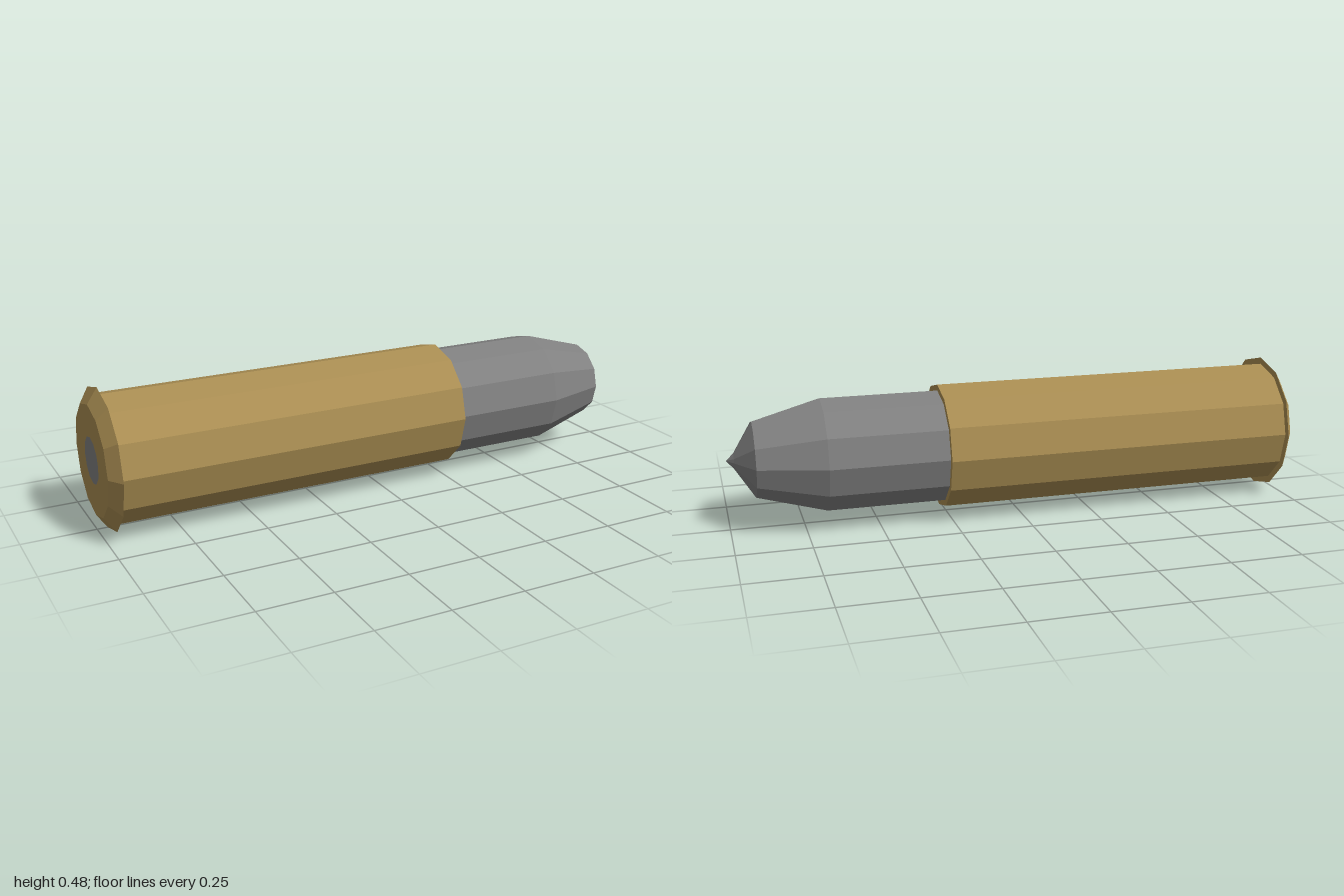
import * as THREE from 'three';

const SIDES = 12;
const AXIS_Y = 0.242;

const brass = new THREE.MeshStandardMaterial({ color: 0xa98d52, flatShading: true });
const lead = new THREE.MeshStandardMaterial({ color: 0x808080, flatShading: true });

// Turned part along x; profile is a list of [x, radius] from base to tip
function turned(name, profile, material) {
  const points = profile.map(([x, r]) => new THREE.Vector2(r, x));
  const geometry = new THREE.LatheGeometry(points, SIDES);
  geometry.rotateZ(-Math.PI / 2);
  const mesh = new THREE.Mesh(geometry, material);
  mesh.name = name;
  mesh.position.y = AXIS_Y;
  return mesh;
}

export function createModel() {
  const group = new THREE.Group();
  group.name = 'cartridge';

  // Base rim, flaring from the flat back to a sharp lip
  group.add(turned('rim', [[-1, 0.08], [-1, 0.19], [-0.965, 0.242], [-0.965, 0.218]], brass));

  // Primer disc, flush in the base
  group.add(turned('primer', [[-1, 0], [-1, 0.08]], lead));

  // Straight case with its open mouth closed around the bullet
  group.add(turned('case', [[-0.965, 0.218], [0.273, 0.218], [0.273, 0.197]], brass));

  // Bullet with a tapered nose and a small point
  const bullet = turned('bullet', [
    [0.273, 0.197], [0.68, 0.197], [0.91, 0.132], [0.975, 0.027], [1, 0],
  ], lead);

  // The very point sits slightly off the axis
  const pos = bullet.geometry.attributes.position;
  for (let i = 0; i < pos.count; i++) {
    if (pos.getX(i) > 0.99) pos.setZ(i, pos.getZ(i) + 0.01);
  }
  bullet.geometry.computeVertexNormals();
  group.add(bullet);

  return group;
}
